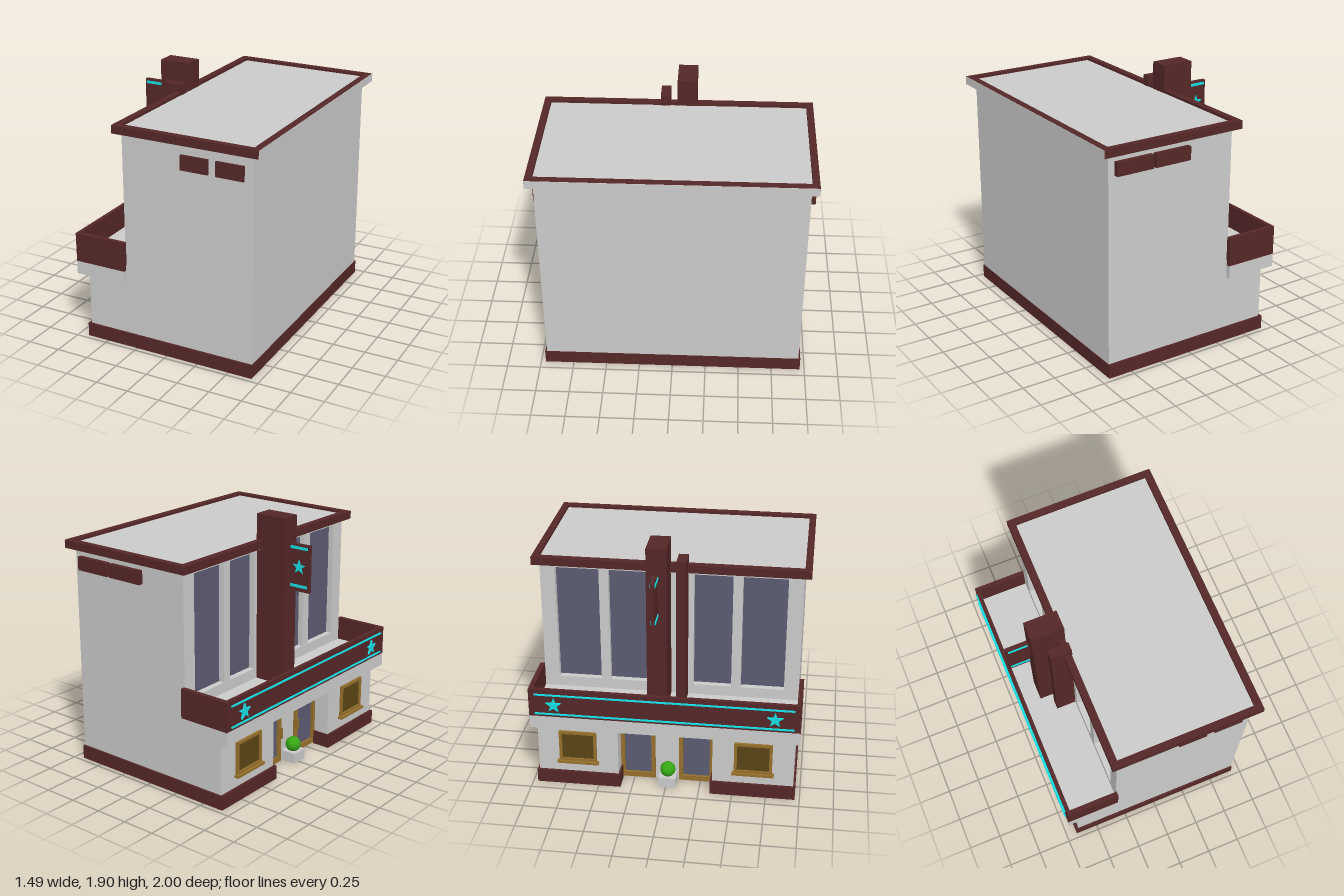
import * as THREE from 'three';

const mat = (color, extra = {}) => new THREE.MeshStandardMaterial({ color, ...extra });

export function createModel() {
  const root = new THREE.Group();
  const grey = mat(0xcccccc), brown = mat(0x552727), teal = mat(0x14dfe4);
  const gold = mat(0x96702c), darkGold = mat(0x5a4414), glass = mat(0x5c5c72), green = mat(0x36a814);

  const add = (name, geo, m) => {
    const mesh = new THREE.Mesh(geo, m);
    mesh.name = name;
    root.add(mesh);
    return mesh;
  };
  // Box given by its minimum and maximum on each axis
  const box = (name, m, x0, x1, y0, y1, z0, z1) => {
    const mesh = add(name, new THREE.BoxGeometry(x1 - x0, y1 - y0, z1 - z0), m);
    mesh.position.set((x0 + x1) / 2, (y0 + y1) / 2, (z0 + z1) / 2);
    return mesh;
  };
  const rect = (T, a0, a1, b0, b1) => {
    const s = new T();
    s.moveTo(a0, b0); s.lineTo(a1, b0); s.lineTo(a1, b1); s.lineTo(a0, b1); s.closePath();
    return s;
  };
  // Wall in the z-y plane with its outer face at x, facing -x
  const facade = (name, m, x, depth, outline, holes) => {
    const s = rect(THREE.Shape, ...outline);
    holes.forEach(h => s.holes.push(rect(THREE.Path, ...h)));
    const mesh = add(name, new THREE.ExtrudeGeometry(s, { depth, bevelEnabled: false }), m);
    mesh.rotation.y = -Math.PI / 2;
    mesh.position.x = x + depth;
    return mesh;
  };
  const star = (name, r, depth) => {
    const pts = [];
    for (let i = 0; i < 10; i++) {
      const a = Math.PI / 2 + i * Math.PI / 5, q = i % 2 ? r * 0.4 : r;
      pts.push(new THREE.Vector2(q * Math.cos(a), q * Math.sin(a)));
    }
    return add(name, new THREE.ExtrudeGeometry(new THREE.Shape(pts), { depth, bevelEnabled: false }), teal);
  };

  // Side walls, stepped in profile, open underneath
  const profile = new THREE.Shape([[-0.65, 0], [0.68, 0], [0.68, 1.65], [-0.33, 1.65], [-0.33, 0.55], [-0.65, 0.55]]
    .map(p => new THREE.Vector2(...p)));
  for (const z of [-0.95, 0.92]) {
    add('sideWall', new THREE.ExtrudeGeometry(profile, { depth: 0.03, bevelEnabled: false }), grey).position.z = z;
  }
  box('rearWall', grey, 0.65, 0.68, 0, 1.65, -0.95, 0.95);

  // Upper facade with four tall recessed windows
  const windows = [[-0.84, -0.52], [-0.45, -0.17], [0.17, 0.45], [0.52, 0.84]];
  facade('upperFacade', grey, -0.33, 0.05, [-0.95, 0.95, 0.55, 1.65], windows.map(w => [...w, 0.73, 1.62]));
  windows.forEach(([a, b]) => box('windowPane', glass, -0.285, -0.275, 0.73, 1.62, a, b));

  // Recessed entrance with two glazed doors
  const doors = [[-0.35, -0.09], [0.09, 0.35]];
  facade('entranceWall', grey, -0.51, 0.03, [-0.38, 0.38, 0, 0.52], doors.map(([a, b]) => [a + 0.02, b - 0.02, 0.03, 0.45]));
  doors.forEach(([a, b], i) => {
    facade('doorFrame', gold, -0.53, 0.06, [a, b, 0.01, 0.48], [[a + 0.03, b - 0.03, 0.05, 0.45]]);
    box('doorGlass', glass, -0.51, -0.5, 0.05, 0.45, a + 0.03, b - 0.03);
    const hz = i ? a + 0.015 : b - 0.015;
    box('doorHandle', gold, -0.55, -0.53, 0.2, 0.29, hz - 0.008, hz + 0.008);
  });

  // Two front wings with plinths and poster cases
  for (const s of [-1, 1]) {
    const mirrored = (name, m, x0, x1, y0, y1, a, b) =>
      box(name, m, x0, x1, y0, y1, Math.min(a * s, b * s), Math.max(a * s, b * s));
    mirrored('wingFront', grey, -0.65, -0.62, 0, 0.52, 0.35, 0.95);
    mirrored('wingReturn', grey, -0.65, -0.5, 0, 0.52, 0.35, 0.38);
    mirrored('frontPlinth', brown, -0.67, -0.65, 0, 0.105, 0.335, 0.965);
    mirrored('returnPlinth', brown, -0.65, -0.53, 0, 0.105, 0.335, 0.352);
    mirrored('sidePlinth', brown, -0.67, 0.683, 0, 0.105, 0.948, 0.965);
    const [p0, p1] = s < 0 ? [-0.79, -0.51] : [0.51, 0.79];
    facade('posterFrame', gold, -0.667, 0.02, [p0, p1, 0.2, 0.45], [[p0 + 0.022, p1 - 0.022, 0.222, 0.428]]);
    box('posterPanel', darkGold, -0.656, -0.648, 0.21, 0.44, p0 + 0.01, p1 - 0.01);
    box('posterSill', gold, -0.685, -0.65, 0.185, 0.203, p0 - 0.015, p1 + 0.015);
  }
  box('rearPlinth', brown, 0.666, 0.684, 0, 0.105, -0.965, 0.965);

  // Marquee: slab, terrace floor and brown parapet
  box('marqueeSlab', grey, -0.73, -0.33, 0.51, 0.61, -0.985, 0.985);
  box('terraceFloor', grey, -0.71, -0.32, 0.6, 0.65, -0.96, 0.96);
  box('frontParapet', brown, -0.73, -0.7, 0.61, 0.83, -0.985, 0.985);
  box('sideParapet', brown, -0.73, -0.325, 0.61, 0.83, -0.985, -0.951);
  box('sideParapet', brown, -0.73, -0.325, 0.61, 0.83, 0.951, 0.985);
  for (const y of [0.635, 0.79]) box('marqueeStripe', teal, -0.742, -0.73, y - 0.005, y + 0.005, -0.94, 0.94);
  for (const z of [-0.8, 0.8]) {
    const m = star('marqueeStar', 0.06, 0.015);
    m.rotation.y = -Math.PI / 2;
    m.position.set(-0.73, 0.71, z);
  }

  // Pylons and projecting blade sign
  box('tallPylon', brown, -0.57, -0.325, 0.61, 1.9, -0.14, 0.005);
  box('shortPylon', brown, -0.48, -0.322, 0.61, 1.77, 0.06, 0.13);
  box('bladeSign', brown, -0.745, -0.578, 1.37, 1.715, -0.083, -0.055);
  box('bladeBracket', brown, -0.58, -0.56, 1.45, 1.63, -0.076, -0.062);
  for (const y of [1.41, 1.69]) box('bladeStripe', teal, -0.73, -0.585, y - 0.01, y + 0.01, -0.089, -0.049);
  star('bladeStar', 0.055, 0.01).position.set(-0.66, 1.55, -0.09);

  // Roof slab with raised rim; the rear edge is grey
  box('roofSlab', grey, -0.379, 0.739, 1.648, 1.69, -0.999, 0.999);
  box('roofRimFront', brown, -0.38, -0.328, 1.65, 1.71, -1, 1);
  box('roofRimRear', brown, 0.685, 0.739, 1.65, 1.71, -1, 1);
  box('roofRimSide', brown, -0.38, 0.739, 1.65, 1.71, -1, -0.95);
  box('roofRimSide', brown, -0.38, 0.739, 1.65, 1.71, 0.95, 1);
  box('roofRearEdge', grey, 0.73, 0.742, 1.648, 1.709, -0.999, 0.999);

  // Side vents
  for (const [a, b] of [[0.135, 0.345], [0.405, 0.615]]) box('sideVent', brown, a, b, 1.46, 1.57, 0.945, 0.967);
  for (const [a, b] of [[0.04, 0.325], [0.345, 0.63]]) box('sideVent', brown, a, b, 1.5, 1.6, -0.985, -0.945);

  // Planter with a round bush
  facade('planter', grey, -0.63, 0.12, [-0.055, 0.075, 0, 0.08], []);
  add('bush', new THREE.IcosahedronGeometry(0.058, 2), green).position.set(-0.57, 0.125, 0.01);

  return root;
}
